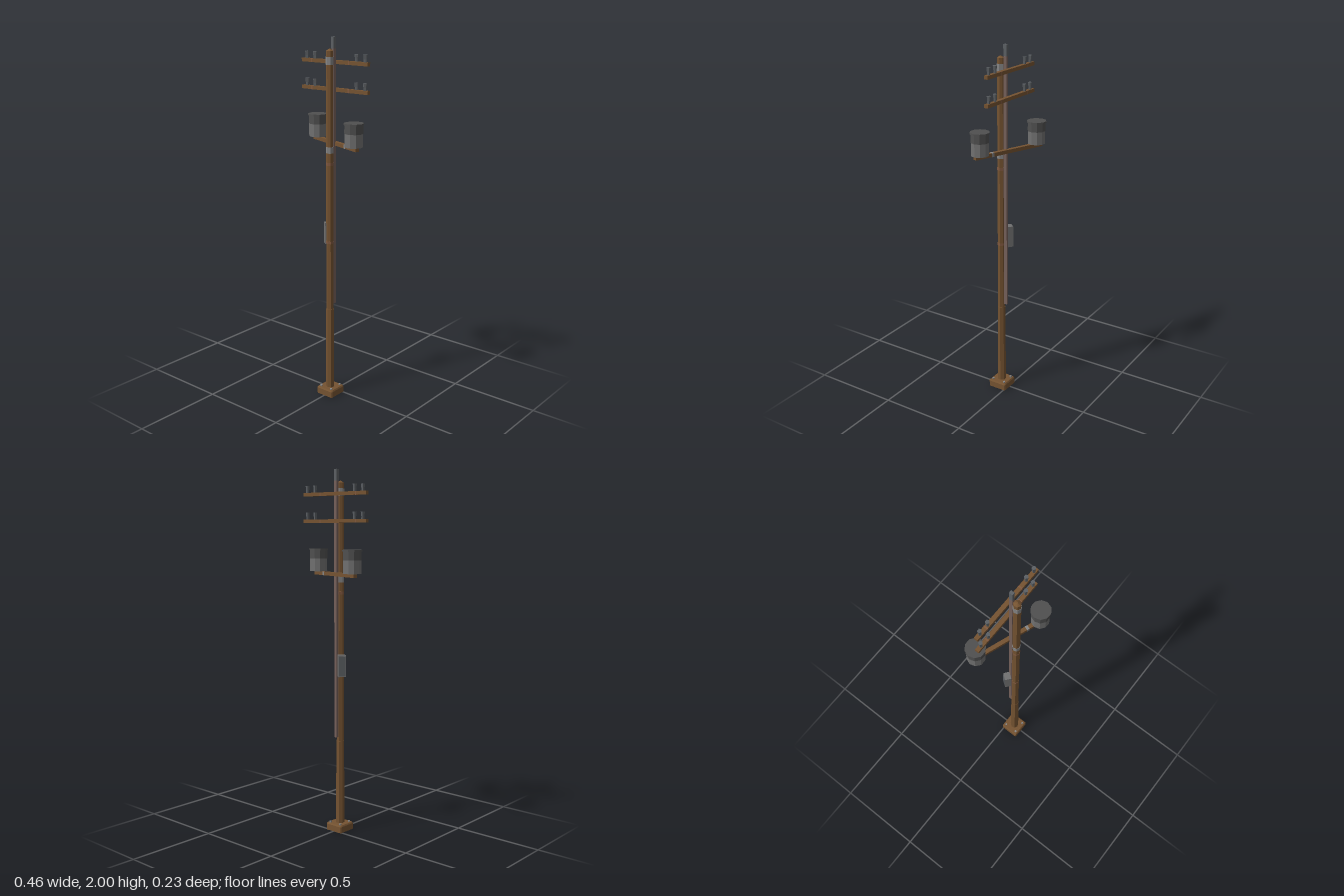
import * as THREE from 'three';

const mat = (name, color, extra = {}) => {
  const m = new THREE.MeshStandardMaterial({ color, flatShading: true, ...extra });
  m.name = name;
  return m;
};

export function createModel() {
  const wood = mat('brown wood', 0x755331);
  const woodOpen = mat('brown base', 0x755331, { side: THREE.DoubleSide });
  const darkGrey = mat('dark grey', 0x505050);
  const midGrey = mat('mid grey', 0x707070);
  const insulatorGrey = mat('insulator grey', 0x5c6064);
  const steel = mat('steel', 0x858585);
  const conduitGrey = mat('warm grey', 0x75605a);
  const rust = mat('rust', 0x80583f);

  const model = new THREE.Group();
  model.name = 'utilityPole';
  const PZ = 0.047; // pole axis

  const add = (name, geo, material, x, y, z, parent = model) => {
    const mesh = new THREE.Mesh(geo, material);
    mesh.name = name;
    mesh.position.set(x, y, z);
    parent.add(mesh);
    return mesh;
  };
  const box = (w, h, d) => new THREE.BoxGeometry(w, h, d);
  const cyl = (rTop, rBottom, h, n, open = false) =>
    new THREE.CylinderGeometry(rTop, rBottom, h, n, 1, open);

  // Hollow base: rounded-square cross-sections, open underneath
  const section = (half, chamfer) => {
    const a = half, b = half - chamfer;
    return [[a, b], [b, a], [-b, a], [-a, b], [-a, -b], [-b, -a], [b, -a], [a, -b]];
  };
  const rings = [[0.055, 0.006, 0], [0.055, 0.006, 0.034], [0.05, 0.006, 0.041]];
  const pos = [], idx = [];
  rings.forEach(([h, c, y]) => section(h, c).forEach(([x, z]) => pos.push(x, y, z)));
  pos.push(0, 0.041, 0);
  for (let i = 0; i < 8; i++) {
    const j = (i + 1) % 8;
    for (let r = 0; r < 2; r++) {
      const a = r * 8 + i, b = r * 8 + j;
      idx.push(a, a + 8, b, b, a + 8, b + 8);
    }
    idx.push(16 + i, 24, 16 + j);
  }
  const baseGeo = new THREE.BufferGeometry();
  baseGeo.setAttribute('position', new THREE.Float32BufferAttribute(pos, 3));
  baseGeo.setIndex(idx);
  baseGeo.computeVertexNormals();
  add('base', baseGeo, woodOpen, 0, 0, 0.045);

  // Base bolts
  for (const sx of [-1, 1]) for (const sz of [-1, 1]) {
    add('baseBolt', cyl(0.007, 0.007, 0.008, 6), steel, sx * 0.036, 0.044, 0.045 + sz * 0.038);
  }

  // Pole: thick lower sleeve, slimmer shaft and pointed cap
  add('lowerPole', cyl(0.0225, 0.025, 0.475, 7), wood, 0, 0.2775, PZ);
  add('upperPole', cyl(0.0195, 0.0205, 1.42, 7), wood, 0, 1.22, PZ);
  add('poleCap', cyl(0.004, 0.0195, 0.01, 7), wood, 0, 1.935, PZ);

  // Clamp bands round the shaft
  [[1.88, 0.04, steel], [1.415, 0.034, steel], [1.34, 0.016, rust], [0.905, 0.014, rust]]
    .forEach(([y, h, m]) => add('clampBand', cyl(0.0212, 0.0212, h, 7), m, 0, y, PZ));

  // Conduit up the back of the pole
  add('conduit', box(0.015, 1.4, 0.019), conduitGrey, 0, 1.24, 0.0155);
  add('conduitTip', box(0.016, 0.06, 0.02), insulatorGrey, 0, 1.9705, 0.0155);

  // Two upper cross-arms with insulators
  for (const y of [1.87, 1.727]) {
    const arm = new THREE.Group();
    arm.name = 'crossArm';
    arm.position.set(0, y, -0.006);
    model.add(arm);
    add('armBeam', box(0.443, 0.019, 0.022), wood, -0.0085, 0, 0, arm);
    for (const x of [-0.16, 0.09]) add('armStrap', box(0.008, 0.02, 0.023), rust, x, 0, 0, arm);
    for (const x of [-0.201, -0.146, 0.134, 0.19]) {
      add('insulator', cyl(0.0115, 0.0095, 0.022, 5), insulatorGrey, x, 0.036, 0, arm);
      add('insulatorFoot', cyl(0.0085, 0.0085, 0.017, 5), insulatorGrey, x, 0.0175, 0, arm);
    }
  }

  // Slanted arm carrying the two transformers
  const slant = new THREE.Group();
  slant.name = 'transformerArm';
  slant.position.set(-0.003, 1.444, -0.001);
  slant.rotation.y = -0.345;
  model.add(slant);
  add('transformerBeam', box(0.44, 0.02, 0.022), wood, 0, 0, 0, slant);
  add('beamStrap', box(0.015, 0.021, 0.023), steel, 0.11, 0, 0, slant);
  for (const s of [-1, 1]) {
    const can = new THREE.Group();
    can.name = 'transformer';
    can.position.set(s * 0.187, 0.01, 0);
    slant.add(can);
    add('canLower', cyl(0.048, 0.048, 0.07, 10), midGrey, 0, 0.035, 0, can);
    add('canUpper', cyl(0.049, 0.049, 0.045, 10), darkGrey, 0, 0.0925, 0, can);
    add('canLid', cyl(0.053, 0.053, 0.009, 10), darkGrey, 0, 0.1195, 0, can);
  }

  // Meter box on the back right of the pole
  const meter = add('meterBox', box(0.042, 0.12, 0.034), midGrey, -0.036, 0.945, 0.0175);
  meter.rotation.y = 0.9;
  add('meterBoxDoor', box(0.034, 0.105, 0.004), insulatorGrey, 0, 0, -0.0175, meter);

  return model;
}
